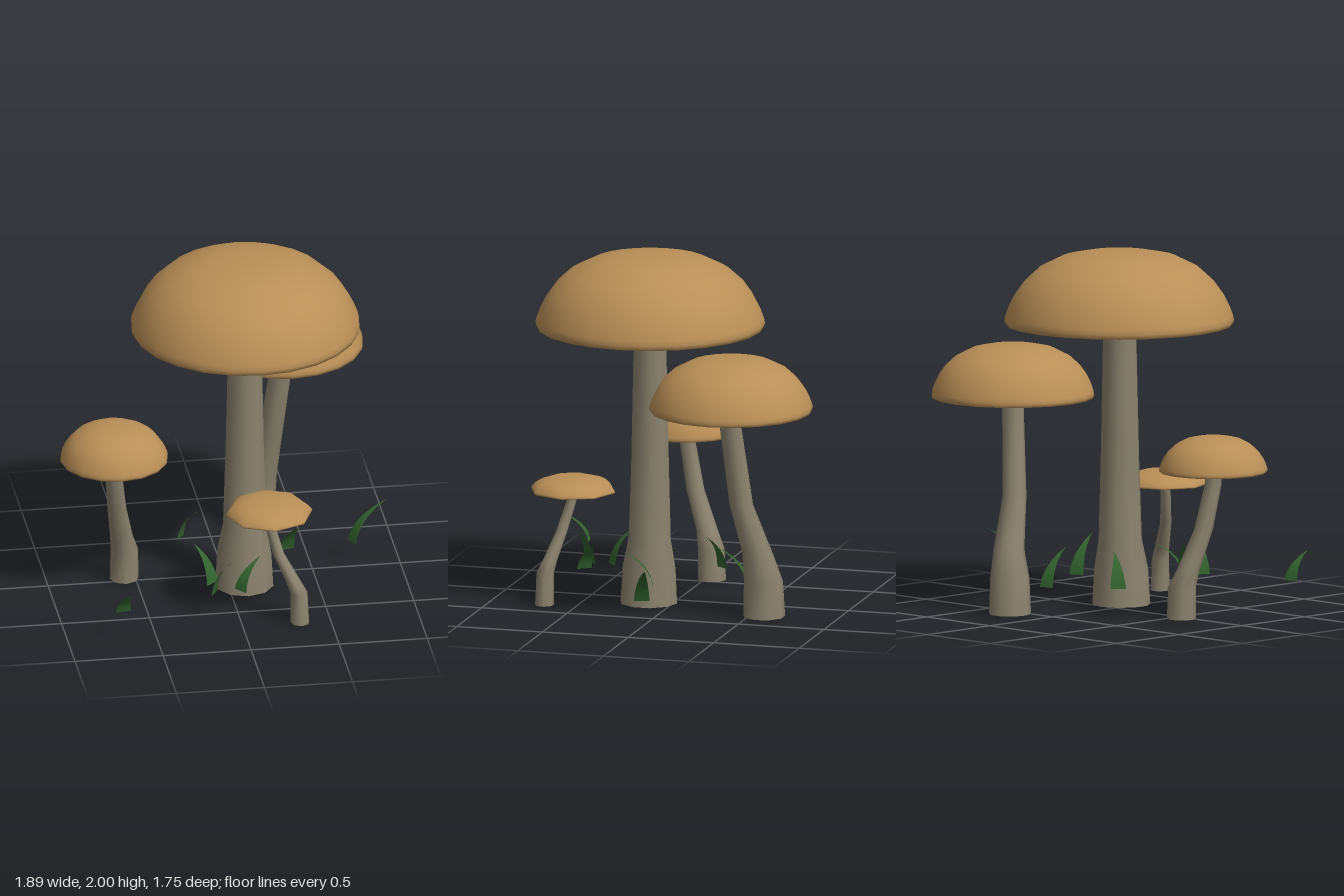
import * as THREE from 'three';
import { mergeVertices } from 'three/addons/utils/BufferGeometryUtils.js';

const mat = (name, color) => {
  const m = new THREE.MeshStandardMaterial({ color, side: THREE.DoubleSide });
  m.name = name;
  return m;
};

// Cap outline as fractions of radius and height, from rim to crown
const CAP = [[0.965, -0.03], [0.99, -0.03], [1, 0.03], [0.99, 0.1], [0.96, 0.23], [0.91, 0.39],
  [0.83, 0.57], [0.7, 0.76], [0.5, 0.92], [0.3, 0.985], [0.14, 1], [0, 1]];

// Each stem row is [y, x, z, radius], listed from the ground up
const MUSHROOMS = [
  { name: 'largeMushroom', cap: [0.1, 1.6, 0.13], r: 0.645, h: 0.4, sides: 24, stemSides: 10, gills: 32,
    stem: [[0, 0.093, 0.14, 0.165], [0.2, 0.093, 0.138, 0.154], [0.37, 0.096, 0.134, 0.123],
      [0.8, 0.096, 0.132, 0.11], [1.5, 0.098, 0.132, 0.095], [1.66, 0.1, 0.13, 0.08]] },
  { name: 'mediumMushroom', cap: [0.39, 1.21, -0.425], r: 0.46, h: 0.29, sides: 20, stemSides: 9, gills: 28,
    stem: [[0, 0.26, -0.58, 0.12], [0.2, 0.265, -0.577, 0.112], [0.36, 0.295, -0.553, 0.088],
      [0.65, 0.335, -0.468, 0.068], [1.13, 0.395, -0.42, 0.062], [1.25, 0.39, -0.42, 0.055]] },
  { name: 'smallMushroom', cap: [-0.645, 0.83, 0.13], r: 0.305, h: 0.195, sides: 16, stemSides: 8, gills: 20,
    stem: [[0, -0.562, -0.04, 0.082], [0.18, -0.562, -0.035, 0.078], [0.28, -0.583, -0.005, 0.064],
      [0.5, -0.622, 0.075, 0.053], [0.75, -0.648, 0.125, 0.047], [0.86, -0.645, 0.13, 0.045]] },
  { name: 'tinyMushroom', cap: [0.17, 0.632, 0.56], r: 0.245, h: 0.083, sides: 8, stemSides: 7, gills: 14,
    stem: [[0, 0.327, 0.683, 0.054], [0.18, 0.322, 0.68, 0.05], [0.25, 0.29, 0.66, 0.042],
      [0.4, 0.215, 0.615, 0.033], [0.57, 0.17, 0.57, 0.029], [0.65, 0.17, 0.56, 0.027]] },
];

// Grass blades: base x, base z, tip x, tip y, tip z
const BLADES = [
  [-0.68, 0.71, -0.66, 0.31, 0.87], [0.725, 0, 0.94, 0.37, -0.08],
  [-0.22, -0.2, -0.12, 0.345, -0.13], [-0.14, 0.55, -0.04, 0.365, 0.61],
  [-0.13, 0.42, -0.22, 0.355, 0.31], [0.01, 0.54, 0.14, 0.315, 0.44],
  [0.35, 0.04, 0.41, 0.365, 0.23], [0.11, -0.44, 0.14, 0.36, -0.25],
];

// Bent stem: an open cylinder whose rings follow the listed rows
function stemGeometry(rows, sides) {
  const g = new THREE.CylinderGeometry(1, 1, 1, sides, rows.length - 1, true);
  const p = g.attributes.position;
  for (let i = 0; i < p.count; i++) {
    const [y, x, z, r] = rows[rows.length - 1 - Math.floor(i / (sides + 1))];
    p.setXYZ(i, x + p.getX(i) * r, y, z + p.getZ(i) * r);
  }
  g.deleteAttribute('normal');
  g.deleteAttribute('uv');
  const merged = mergeVertices(g, 1e-5);
  merged.computeVertexNormals();
  return merged;
}

// Thin gill blades radiating under the cap, alternately long and short
function gillGeometry(r, lift, count) {
  const pos = [];
  for (let i = 0; i < count; i++) {
    const a = (i / count) * Math.PI * 2, c = Math.cos(a), s = Math.sin(a);
    const r0 = r * (i % 2 ? 0.5 : 0.21), r1 = r * 0.93, rm = (r0 + r1) / 2;
    pos.push(c * r0, lift, s * r0, c * rm, lift * 0.45, s * rm, c * r1, lift * 0.15, s * r1);
  }
  const g = new THREE.BufferGeometry();
  g.setAttribute('position', new THREE.Float32BufferAttribute(pos, 3));
  g.computeVertexNormals();
  return g;
}

// Curved, tapering blade of grass
function bladeGeometry([bx, bz, tx, ty, tz]) {
  const y0 = 0.15, n = 5, pos = [], idx = [];
  const dx = tx - bx, dz = tz - bz, len = Math.hypot(dx, dz);
  const curve = new THREE.QuadraticBezierCurve3(new THREE.Vector3(bx, y0, bz),
    new THREE.Vector3(bx + dx * 0.1, y0 + (ty - y0) * 0.65, bz + dz * 0.1), new THREE.Vector3(tx, ty, tz));
  for (let i = 0; i <= n; i++) {
    const p = curve.getPoint(i / n), w = 0.045 * (1 - (i / n) ** 1.3);
    const wx = (-dz / len) * w, wz = (dx / len) * w;
    pos.push(p.x - wx, p.y, p.z - wz, p.x + wx, p.y, p.z + wz);
    if (i < n) idx.push(2 * i, 2 * i + 1, 2 * i + 2, 2 * i + 1, 2 * i + 3, 2 * i + 2);
  }
  const g = new THREE.BufferGeometry();
  g.setAttribute('position', new THREE.Float32BufferAttribute(pos, 3));
  g.setIndex(idx);
  g.computeVertexNormals();
  return g;
}

export function createModel() {
  const capMat = mat('capTan', 0xb98f57);
  const stemMat = mat('stemGrey', 0x8b836f);
  const grassMat = mat('grassGreen', 0x33632f);

  const model = new THREE.Group();
  model.name = 'mushroomCluster';
  const add = (parent, name, geometry, material) => {
    const m = new THREE.Mesh(geometry, material);
    m.name = name;
    parent.add(m);
  };
  const lathe = (pts, sides) => new THREE.LatheGeometry(pts.map(([x, y]) => new THREE.Vector2(x, y)), sides);

  for (const { name, cap, r, h, sides, stemSides, gills, stem } of MUSHROOMS) {
    const group = new THREE.Group();
    group.name = name;
    add(group, 'stem', stemGeometry(stem, stemSides), stemMat);

    const head = new THREE.Group();
    head.name = 'head';
    head.position.set(...cap);
    const lift = h * 0.14;
    add(head, 'cap', lathe(CAP.map(([x, y]) => [x * r, y * h]), sides), capMat);
    // Underside, with a cap-coloured recess around the stem
    add(head, 'underside', lathe([[r * 0.18, lift], [r * 0.6, lift * 0.8], [r * 0.965, -0.03 * h]].reverse(), sides).scale(1, 1, 1), stemMat);
    add(head, 'stemRecess', lathe([[r * 0.18, lift * 3], [r * 0.18, lift]], sides), capMat);
    add(head, 'gills', gillGeometry(r, lift, gills), stemMat);
    group.add(head);
    model.add(group);
  }

  const grass = new THREE.Group();
  grass.name = 'grass';
  BLADES.forEach((b) => add(grass, 'grassBlade', bladeGeometry(b), grassMat));
  model.add(grass);
  return model;
}
